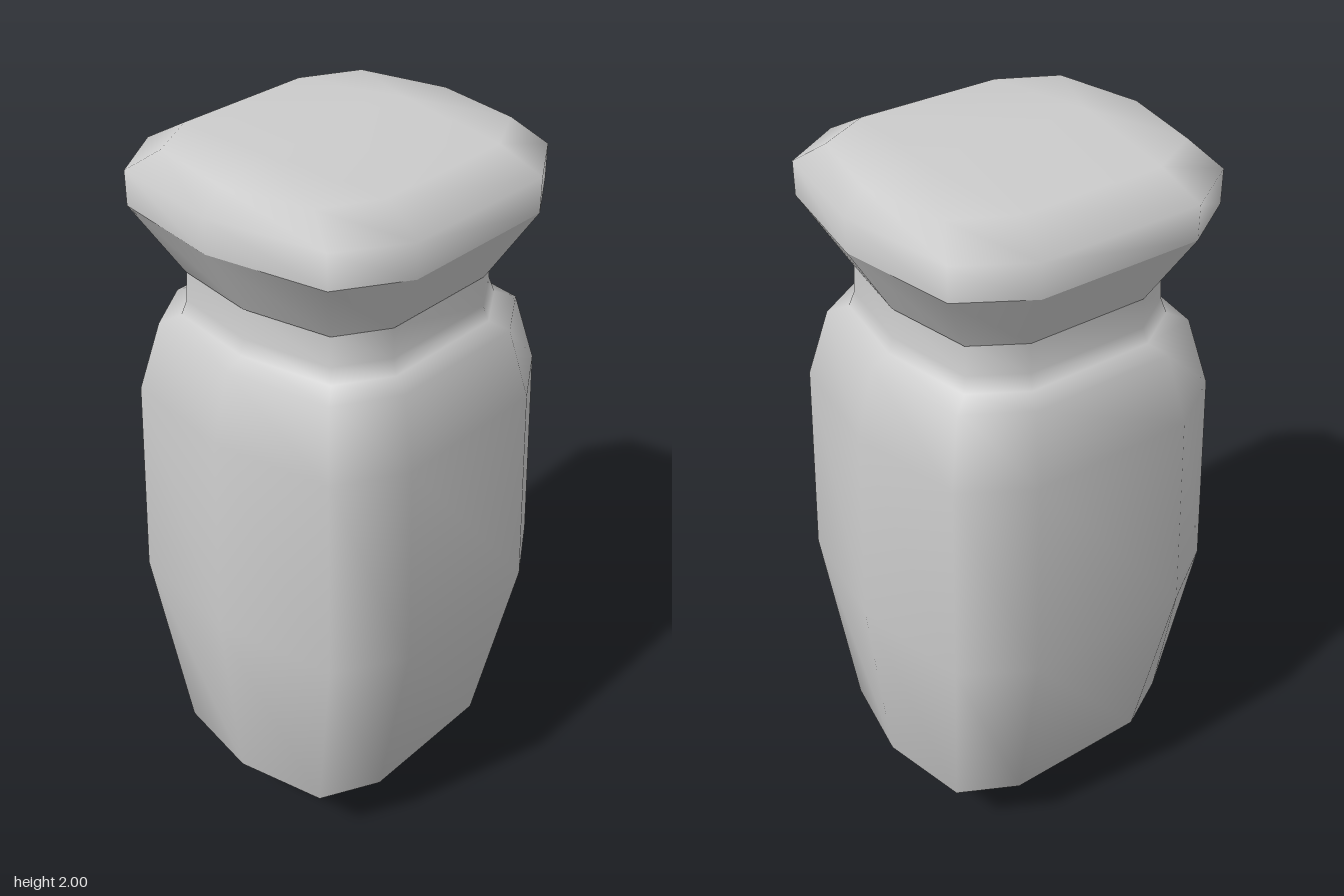
import * as THREE from 'three';
import { mergeVertices } from 'three/addons/utils/BufferGeometryUtils.js';

// Ten-sided cross-section, as fractions of the half width and half depth
const quarter = [[1, 0], [0.88, 0.75], [0.5, 1]];
const section = [
  ...quarter,
  ...[quarter[2], quarter[1], quarter[0]].map(([x, z]) => [-x, z]),
  [-quarter[1][0], -quarter[1][1]], [-quarter[2][0], -quarter[2][1]],
  [quarter[2][0], -quarter[2][1]], [quarter[1][0], -quarter[1][1]],
];
const ridgeHalf = 0.237;

// Skins rings of [y, half width, half depth]; a depth of 0 makes a ridge along x
function loft(rings) {
  const n = section.length, positions = [], index = [];
  for (const [y, w, d] of rings) {
    for (const [x, z] of section) {
      positions.push(d === 0 ? Math.sign(x) * w : x * w, y, z * d);
    }
  }
  for (let i = 0; i < rings.length - 1; i++) {
    for (let j = 0; j < n; j++) {
      const k = (j + 1) % n;
      const a = i * n + j, b = i * n + k, c = b + n, e = a + n;
      index.push(a, e, c, a, c, b);
    }
  }
  const raw = new THREE.BufferGeometry();
  raw.setAttribute('position', new THREE.Float32BufferAttribute(positions, 3));
  raw.setIndex(index);
  const geometry = mergeVertices(raw);
  geometry.computeVertexNormals();
  return geometry;
}

export function createModel() {
  const group = new THREE.Group();
  const grey = new THREE.MeshStandardMaterial({ color: 0xcccccc });
  grey.name = 'light grey';

  const parts = {
    // Wedge-bottomed body rising to the shoulder and neck
    body: [
      [0, ridgeHalf, 0], [0.19, 0.418, 0.34], [0.75, 0.475, 0.454], [1.32, 0.458, 0.436],
      [1.505, 0.406, 0.387], [1.525, 0.355, 0.338], [1.565, 0.342, 0.324], [1.645, 0.338, 0.32],
    ],
    // Flared underside of the cap
    collar: [[1.645, 0.341, 0.322], [1.83, 0.453, 0.431]],
    // Cap with a softly ridged top
    cap: [[1.83, 0.453, 0.431], [1.92, 0.453, 0.431], [1.98, 0.4, 0.322], [2, ridgeHalf, 0]],
  };
  for (const [name, rings] of Object.entries(parts)) {
    const mesh = new THREE.Mesh(loft(rings), grey);
    mesh.name = name;
    group.add(mesh);
  }
  return group;
}
